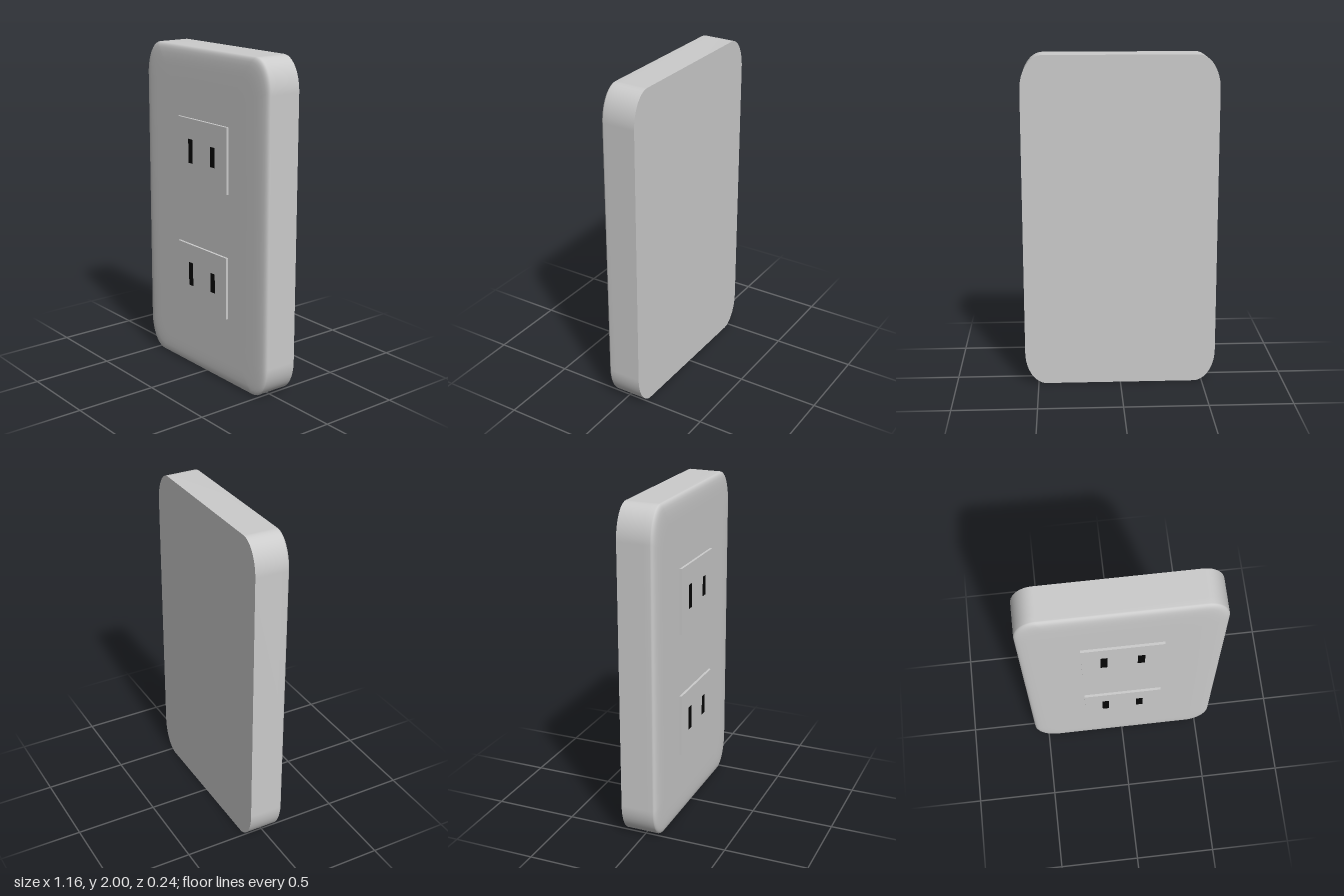
import * as THREE from 'three';

const HALF_W = 0.58, HALF_H = 1, BACK = -0.12, STEPS = 12;

// Rounded rectangle loop, counter-clockwise seen from the front
function outline(inset) {
  const w = HALF_W - inset, h = HALF_H - inset;
  const rx = 0.13 - inset * 0.3, ry = 0.2 - inset * 0.5, pts = [];
  [[1, 1], [-1, 1], [-1, -1], [1, -1]].forEach(([sx, sy], q) => {
    for (let i = 0; i <= STEPS; i++) {
      const a = (q + i / STEPS) * Math.PI / 2;
      pts.push([sx * (w - rx) + rx * Math.cos(a), 1 + sy * (h - ry) + ry * Math.sin(a)]);
    }
  });
  return pts;
}

// Skin a list of [inset, z] sections; optionally close the last one
function skin(sections, cap) {
  const pos = [], idx = [];
  let n = 0;
  for (const [inset, z] of sections) {
    const loop = outline(inset);
    n = loop.length;
    loop.forEach(([x, y]) => pos.push(x, y, z));
  }
  for (let s = 0; s < sections.length - 1; s++) {
    for (let i = 0; i < n; i++) {
      const j = (i + 1) % n, a = s * n + i, b = s * n + j;
      idx.push(a, b, b + n, a, b + n, a + n);
    }
  }
  if (cap) {
    const last = (sections.length - 1) * n, c = pos.length / 3;
    pos.push(0, 1, sections[sections.length - 1][1]);
    for (let i = 0; i < n; i++) idx.push(c, last + i, last + (i + 1) % n);
  }
  const g = new THREE.BufferGeometry();
  g.setAttribute('position', new THREE.Float32BufferAttribute(pos, 3));
  g.setIndex(idx);
  g.computeVertexNormals();
  return g;
}

export function createModel() {
  const model = new THREE.Group();
  const grey = new THREE.MeshStandardMaterial({ color: 0xcccccc });
  const black = new THREE.MeshStandardMaterial({ color: 0x050505 });

  function add(name, geometry, material, parent = model) {
    const mesh = new THREE.Mesh(geometry, material);
    mesh.name = name;
    parent.add(mesh);
    return mesh;
  }
  function block(name, x0, x1, y0, y1, z0, z1, material, parent) {
    add(name, new THREE.BoxGeometry(x1 - x0, y1 - y0, z1 - z0), material, parent)
      .position.set((x0 + x1) / 2, (y0 + y1) / 2, (z0 + z1) / 2);
  }

  // Cover plate with a softly rounded front rim
  add('coverPlate', skin([
    [0, BACK], [0, 0.04], [0, 0.078], [0.002, 0.084], [0.007, 0.09], [0.016, 0.095],
    [0.03, 0.099], [0.055, 0.102], [0.09, 0.1035], [0.13, 0.104], [0.2, 0.104],
  ], true), grey);

  // Flat back
  const back = add('backFace', new THREE.ShapeGeometry(
    new THREE.Shape(outline(0).map(([x, y]) => new THREE.Vector2(x, y)))), grey);
  back.geometry.rotateY(Math.PI);
  back.position.z = BACK;

  // Two raised sockets, each with a long and a short slot
  for (const [name, y0, y1, mid] of [['upperSocket', 1.185, 1.58, 1.383], ['lowerSocket', 0.418, 0.8, 0.612]]) {
    const socket = new THREE.Group();
    socket.name = name;
    model.add(socket);
    block('socketFace', -0.235, 0.238, y0, y1, 0.08, 0.119, grey, socket);
    block('longSlot', -0.126, -0.086, mid - 0.073, mid + 0.073, 0.1, 0.12, black, socket);
    block('shortSlot', 0.087, 0.129, mid - 0.06, mid + 0.06, 0.1, 0.12, black, socket);
  }
  return model;
}
